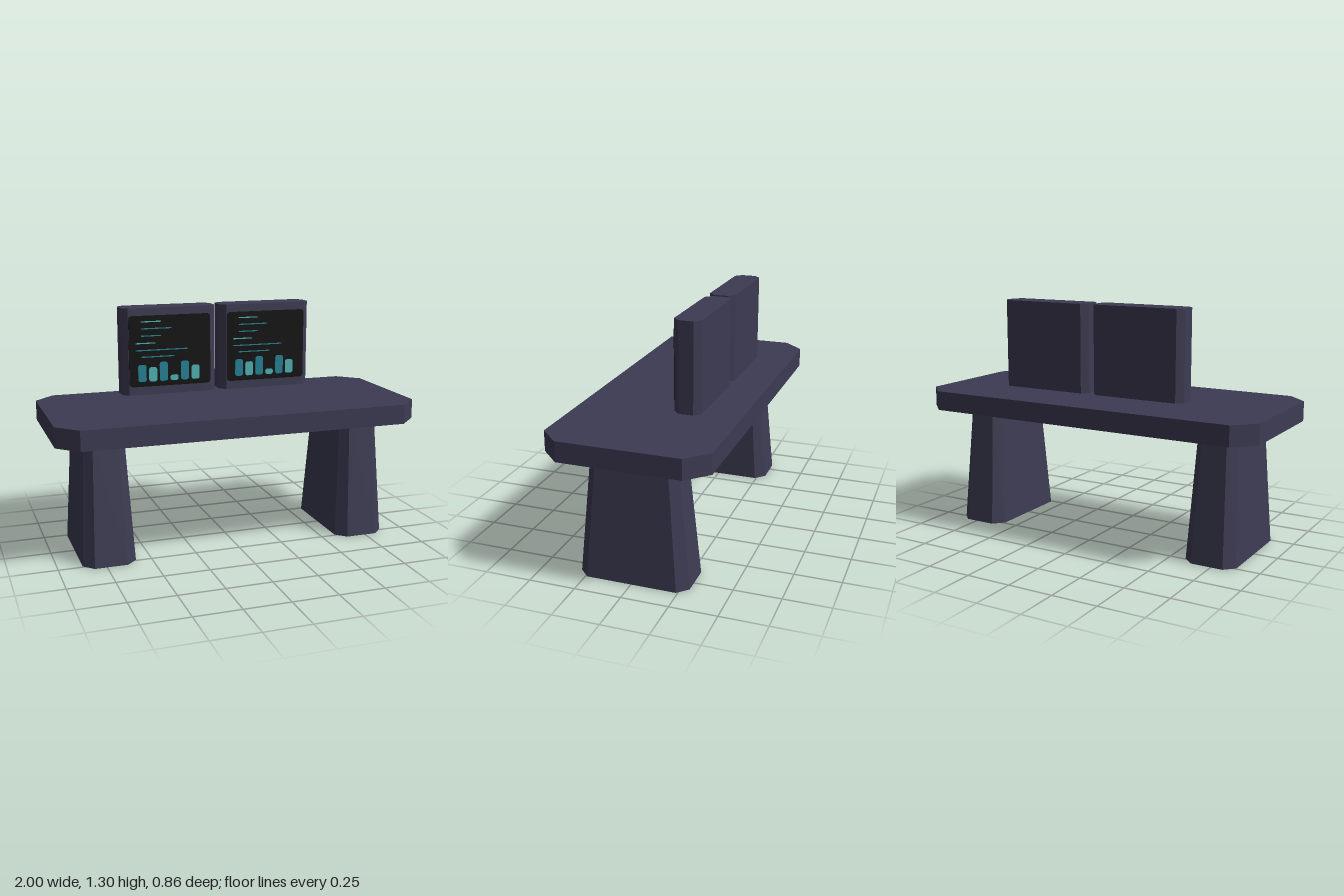
import * as THREE from 'three';

const mat = (name, color) => {
  const m = new THREE.MeshStandardMaterial({ color });
  m.name = name;
  return m;
};

// Upright block with cut corners; the top can be scaled to taper it
function chamferedBlock(w, d, h, c, topX = 1, topZ = 1) {
  const x = w / 2, z = d / 2;
  const outline = [[x - c, -z], [x, c - z], [x, z - c], [x - c, z], [c - x, z], [-x, z - c], [-x, c - z], [c - x, -z]];
  const shape = new THREE.Shape(outline.map(([a, b]) => new THREE.Vector2(a, b)));
  const geo = new THREE.ExtrudeGeometry(shape, { depth: h, bevelEnabled: false });
  geo.rotateX(-Math.PI / 2);
  const p = geo.attributes.position;
  for (let i = 0; i < p.count; i++) {
    const t = p.getY(i) / h;
    p.setX(i, p.getX(i) * (1 + (topX - 1) * t));
    p.setZ(i, p.getZ(i) * (1 + (topZ - 1) * t));
  }
  geo.computeVertexNormals();
  return geo;
}

// Thin upright plate with rounded corners, centred on x, standing on y = 0
function roundedPlate(w, h, r, depth) {
  const s = new THREE.Shape();
  const x = w / 2;
  s.absarc(x - r, r, r, -Math.PI / 2, 0);
  s.absarc(x - r, h - r, r, 0, Math.PI / 2);
  s.absarc(r - x, h - r, r, Math.PI / 2, Math.PI);
  s.absarc(r - x, r, r, Math.PI, Math.PI * 1.5);
  return new THREE.ExtrudeGeometry(s, { depth, bevelEnabled: false, curveSegments: 4 });
}

export function createModel() {
  const model = new THREE.Group();
  model.name = 'desk';
  const body = mat('slate', 0x3d3b53);
  const black = mat('screenBlack', 0x0b0b0c);
  const teal = mat('teal', 0x238497);
  const aqua = mat('aqua', 0x4fb6b8);

  const add = (parent, name, geo, material, x, y, z) => {
    const mesh = new THREE.Mesh(geo, material);
    mesh.name = name;
    mesh.position.set(x, y, z);
    parent.add(mesh);
  };

  // Table top and two tapered legs
  add(model, 'tableTop', chamferedBlock(2, 0.862, 0.108, 0.11), body, 0, 0.675, 0);
  const legGeo = chamferedBlock(0.286, 0.59, 0.677, 0.054, 0.75, 0.78);
  add(model, 'leftLeg', legGeo, body, 0.727, 0, 0);
  add(model, 'rightLeg', legGeo, body, -0.727, 0, 0);

  // Text lines on the screen: x start, length, y, material
  const lines = [
    [-0.163, 0.112, 1.225, aqua], [-0.163, 0.171, 1.187, teal], [-0.163, 0.112, 1.147, teal],
    [-0.195, 0.112, 1.107, aqua], [-0.195, 0.294, 1.068, teal], [-0.163, 0.187, 1.031, teal],
  ];
  const barHeights = [0.096, 0.08, 0.107, 0.032, 0.107, 0.08];

  // Two floating monitors
  const monitorGeo = chamferedBlock(0.536, 0.145, 0.48, 0.034);
  for (const side of [1, -1]) {
    const monitor = new THREE.Group();
    monitor.name = side > 0 ? 'leftMonitor' : 'rightMonitor';
    monitor.position.x = 0.282 * side;
    add(monitor, 'casing', monitorGeo, body, 0, 0.82, -0.181);
    add(monitor, 'screen', roundedPlate(0.465, 0.392, 0.02, 0.004), black, 0, 0.866, -0.1095);
    lines.forEach(([x, length, y, m]) =>
      add(monitor, 'textLine', new THREE.BoxGeometry(length, 0.006, 0.003), m, x + length / 2, y, -0.1045));
    barHeights.forEach((h, i) =>
      add(monitor, 'chartBar', roundedPlate(0.047, h, 0.014, 0.003), i % 2 ? aqua : teal,
        -0.16 + i * 0.061, 0.893, -0.106));
    model.add(monitor);
  }
  return model;
}
